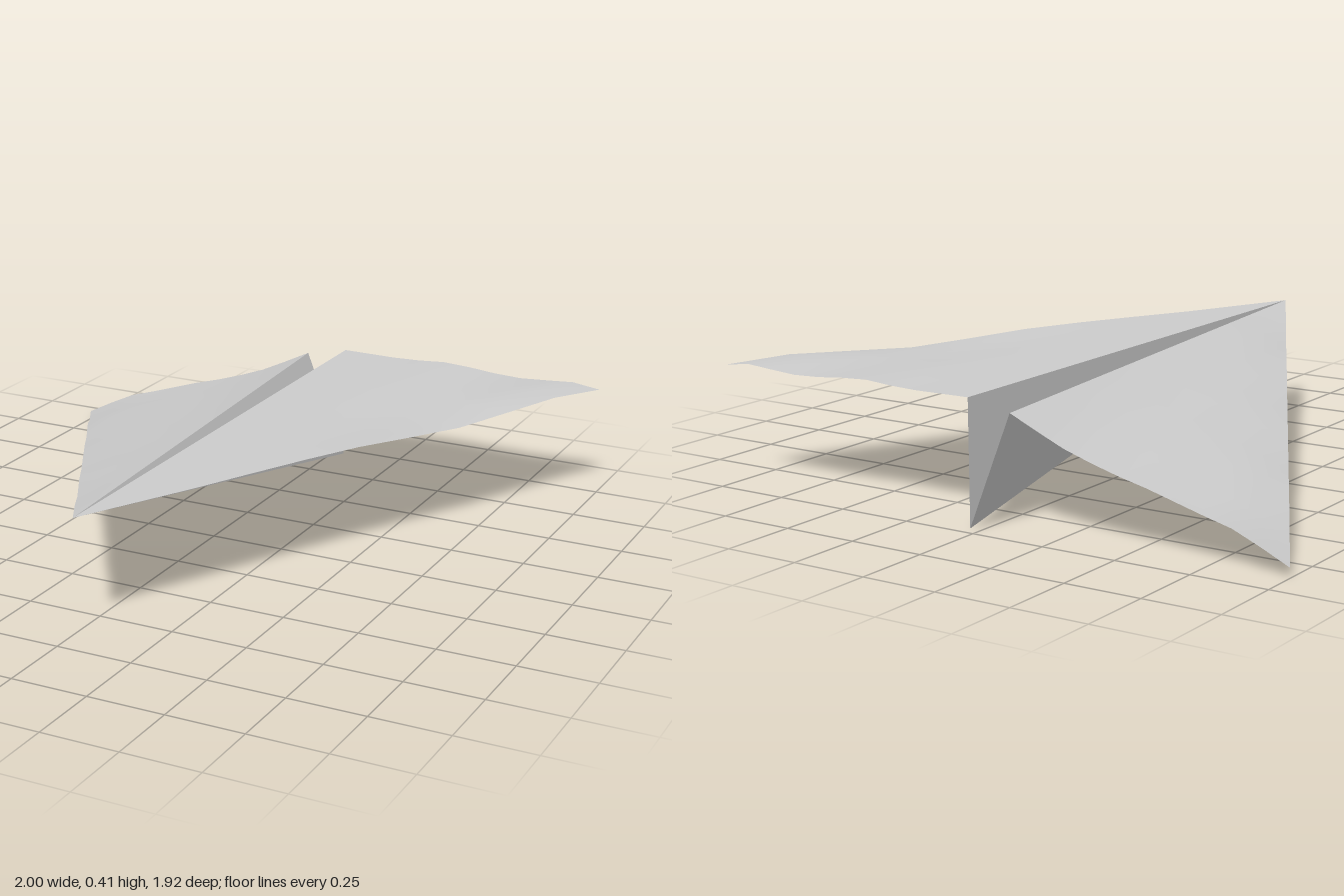
import * as THREE from 'three';

const material = new THREE.MeshStandardMaterial({ color: 0xcccccc, side: THREE.DoubleSide });
const ROWS = 10;
const nose = new THREE.Vector3(0.04, 0.4, 0.96);
const keelBack = new THREE.Vector3(0.04, 0, -0.96);

// Triangular sheet fanned out from a to the edge b-c; bend(u, t) lifts it off the flat.
function sheet(name, a, b, c, bend = () => 0) {
  const positions = [];
  const index = [];
  const first = (row) => (row * (row + 1)) / 2;
  for (let row = 0; row <= ROWS; row++) {
    const t = row / ROWS;
    const start = a.clone().lerp(b, t);
    const end = a.clone().lerp(c, t);
    for (let i = 0; i <= row; i++) {
      const u = row ? i / row : 0;
      const p = start.clone().lerp(end, u);
      positions.push(p.x, p.y + bend(u, t), p.z);
      if (row === ROWS) continue;
      const next = first(row + 1) + i;
      index.push(first(row) + i, next, next + 1);
      if (i < row) index.push(first(row) + i, next + 1, first(row) + i + 1);
    }
  }
  const geometry = new THREE.BufferGeometry();
  geometry.setAttribute('position', new THREE.Float32BufferAttribute(positions, 3));
  geometry.setIndex(index);
  geometry.computeVertexNormals();
  const mesh = new THREE.Mesh(geometry, material);
  mesh.name = name;
  return mesh;
}

// Linear reading of evenly spaced values
function sample(list, t) {
  const x = t * (list.length - 1);
  const i = Math.min(Math.floor(x), list.length - 2);
  return THREE.MathUtils.lerp(list[i], list[i + 1], x - i);
}

// Paper ripples: heights along the trailing edge and along the outer edge, fading inwards
const ripple = (trailing, outer) => (u, t) =>
  sample(trailing, u) * t ** 3 + sample(outer, t) * u ** 2;

export function createModel() {
  const group = new THREE.Group();
  group.name = 'paperPlane';

  const leftRoot = new THREE.Vector3(0.04, 0.4, -0.96);
  const leftTip = new THREE.Vector3(1, 0.39, -0.96);
  const rightRoot = new THREE.Vector3(-0.108, 0.37, -0.955);
  const rightTip = new THREE.Vector3(-1, 0.03, -0.88);

  // Wings; the right one droops
  group.add(sheet('leftWing', nose, leftRoot, leftTip, ripple(
    [0, 0, 0, 0.004, 0.012, 0.008, 0, -0.003, 0.004, 0.012, 0],
    [0, 0, 0, 0.003, 0.005, 0.004, -0.006, -0.014, -0.002, 0.01, 0])));
  group.add(sheet('rightWing', nose, rightTip, rightRoot, (u, t) => ripple(
    [0, -0.01, -0.018, -0.016, -0.01, 0, 0.006, 0.012, 0.02, 0.012, 0],
    [0, 0, -0.018, 0, -0.007, 0, 0.007, 0, 0.018, -0.005, 0])(1 - u, t)));

  // Keel: the two folded walls meeting in the bottom crease
  group.add(sheet('leftKeelWall', nose, keelBack, leftRoot));
  group.add(sheet('rightKeelWall', nose, rightRoot, keelBack));
  return group;
}
